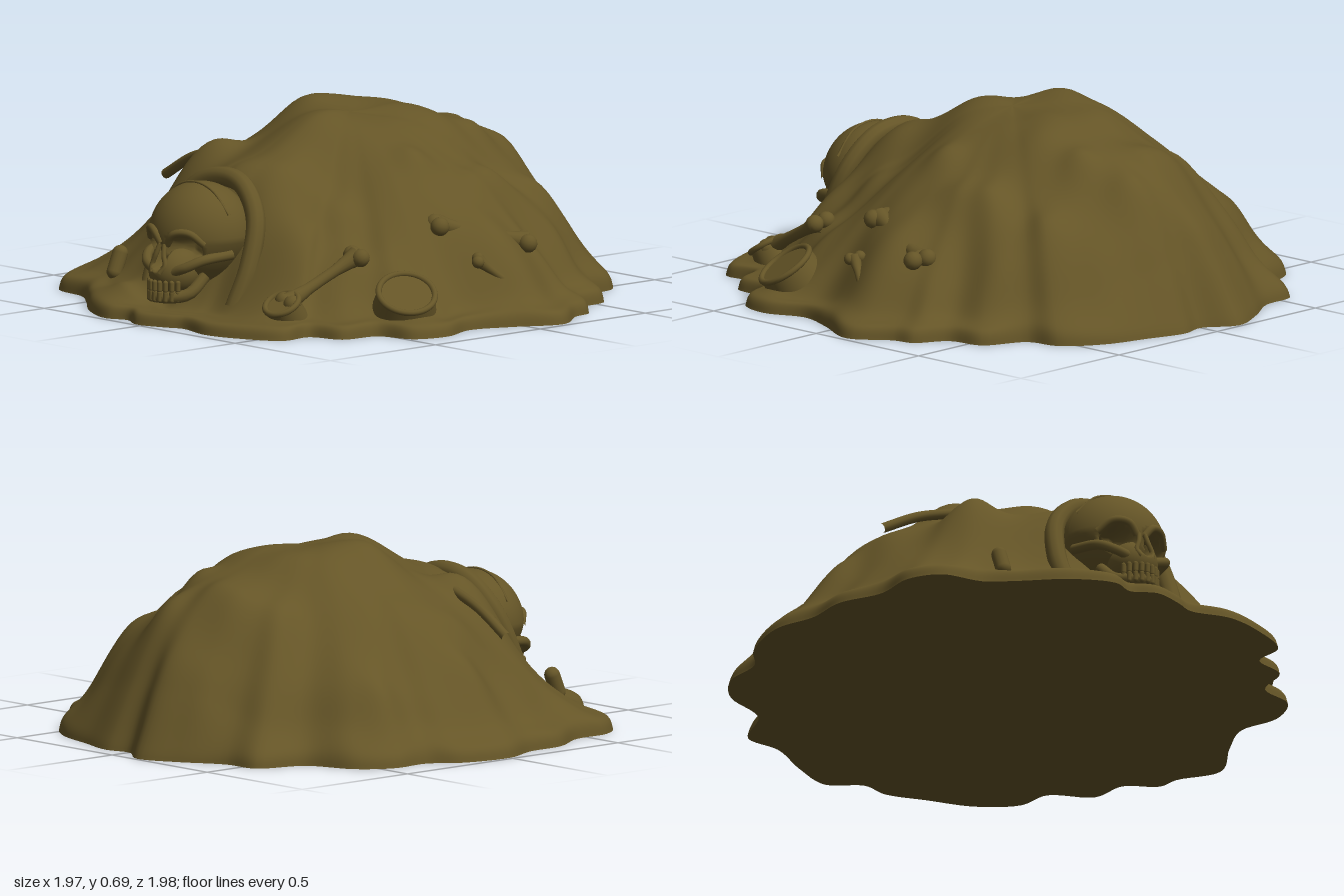
import * as THREE from 'three';
import { mergeVertices } from 'three/addons/utils/BufferGeometryUtils.js';

const earth = new THREE.MeshStandardMaterial({ color: 0x655527 });
earth.name = 'muddy brown';
const V = (x, y, z) => new THREE.Vector3(x, y, z);
const UP = V(0, 1, 0);

function add(parent, name, geometry, pos = V(0, 0, 0)) {
  const mesh = new THREE.Mesh(geometry, earth);
  mesh.name = name;
  mesh.position.copy(pos);
  parent.add(mesh);
  return mesh;
}

const tube = (pts, r, n = 20) =>
  new THREE.TubeGeometry(new THREE.CatmullRomCurve3(pts.map(p => V(...p))), n, r, 10);

// Scalloped footprint, x and z, running from the left side round by the front
const OUTLINE = [
  [.9, .05], [.85, .2], [.9, .35], [.86, .48], [.73, .53], [.7, .67], [.58, .72], [.58, .84], [.45, .92],
  [.3, .96], [.15, .93], [.08, .96], [-.03, .99], [-.12, .95], [-.2, .98], [-.35, .92], [-.5, .8],
  [-.6, .73], [-.75, .7], [-.83, .6], [-.84, .45], [-.92, .3], [-.93, .15], [-.985, 0], [-.95, -.2],
  [-.88, -.3], [-.88, -.45], [-.8, -.57], [-.63, -.65], [-.56, -.82], [-.42, -.84], [-.27, -.93],
  [-.12, -.99], [0, -.92], [.1, -.94], [.25, -.9], [.42, -.85], [.55, -.75], [.58, -.63], [.73, -.55],
  [.76, -.42], [.87, -.35], [.89, -.27], [.98, -.13]
];

// Slope heights at eight compass directions, starting at +x and turning to +z
const STOPS = [0, .2, .4, .6, .8, .9, .98, 1];
const SLOPES = [
  [.63, .52, .37, .17, .07, .045], [.62, .47, .31, .12, .06, .045],
  [.65, .57, .49, .1, .05, .045], [.64, .53, .38, .17, .08, .05],
  [.66, .58, .46, .23, .11, .05], [.67, .6, .48, .27, .13, .05],
  [.67, .63, .56, .38, .22, .05], [.64, .54, .41, .21, .1, .05]
].map(h => new THREE.SplineCurve([.66, ...h, 0].map((y, i) => new THREE.Vector2(STOPS[i], y))));

function makeLumps() {
  let seed = 11;
  const rnd = () => (seed = (seed * 16807) % 2147483647) / 2147483647;
  const lumps = [[0, .12, .1, .035], [-.22, -.05, .1, .03], [.1, -.25, .1, .025]];
  for (let i = 0; i < 85; i++) {
    const a = rnd() * Math.PI * 2, r = .25 + .7 * Math.sqrt(rnd());
    lumps.push([Math.cos(a) * r, Math.sin(a) * r, .045 + rnd() * .055, .015 + rnd() * .03]);
  }
  return lumps;
}

function moundGeometry() {
  const lumps = makeLumps();
  const rim = new THREE.CatmullRomCurve3(OUTLINE.map(([x, z]) => V(x, 0, z)), true);
  const N = 264, RINGS = 56, pos = [], idx = [];
  const edge = Array.from({ length: N }, (_, j) => rim.getPoint(j / N));
  for (let i = 0; i <= RINGS; i++) {
    const rings = SLOPES.map(s => s.getPoint(i / RINGS));
    const t = Math.min(1, rings[0].x);
    // Inner rings are rounder; scallops only show near the rim
    for (let j = 0; j < N; j++) {
      const e = edge[j], d = (Math.atan2(e.z, e.x) / (Math.PI / 4) + 8) % 8;
      const k = Math.floor(d) % 8, f = THREE.MathUtils.smoothstep(d - Math.floor(d), 0, 1);
      const round = THREE.MathUtils.lerp(.93 / e.length(), 1, t * t);
      const x = e.x * t * round, z = e.z * t * round;
      let bump = -.025;
      for (const [lx, lz, s, a] of lumps) bump += a * Math.exp(-((x - lx) ** 2 + (z - lz) ** 2) / (2 * s * s));
      const y = THREE.MathUtils.lerp(rings[k].y, rings[(k + 1) % 8].y, f) + bump * (1 - t ** 7);
      pos.push(x, i === RINGS ? 0 : Math.max(.004, y), z);
      if (i < RINGS) {
        const a = i * N + j, b = i * N + (j + 1) % N;
        if (i > 0) idx.push(a, b, a + N);
        idx.push(b, b + N, a + N);
      }
    }
  }
  const g = new THREE.BufferGeometry();
  g.setAttribute('position', new THREE.Float32BufferAttribute(pos, 3));
  g.setIndex(idx);
  const merged = mergeVertices(g);
  merged.computeVertexNormals();
  return { mound: merged, edge };
}

// Sphere stretched to radii, with pits [x, y, width, height, depth] pressed into its front
function pitted(rx, ry, rz, pits, shape) {
  const g = new THREE.SphereGeometry(1, 72, 56), p = g.attributes.position;
  for (let i = 0; i < p.count; i++) {
    const v = V().fromBufferAttribute(p, i);
    const front = v.z > 0;
    v.multiply(V(rx, ry, rz));
    if (shape) shape(v);
    if (front) for (const [x, y, w, h, depth] of pits) {
      const d = Math.hypot((v.x - x) / w, (v.y - y) / h);
      v.z -= depth * (1 - THREE.MathUtils.smoothstep(d, .6, 1.05));
    }
    p.setXYZ(i, v.x, v.y, v.z);
  }
  g.computeVertexNormals();
  return g;
}

function makeSkull() {
  const skull = new THREE.Group();
  skull.name = 'skull';
  skull.position.set(-.02, 0, 0);
  // Cranium with two eye sockets, narrowing below
  add(skull, 'cranium', pitted(.19, .19, .18,
    [[-.075, -.03, .058, .052, .1], [.075, -.03, .058, .052, .1]],
    v => { if (v.y < 0) v.x *= 1 + v.y * 1.6; }), V(0, .29, .69));
  add(skull, 'upperJaw', pitted(.09, .085, .1, [[0, .05, .026, .045, .08]]), V(0, .175, .81));
  for (const s of [-1, 1]) {
    add(skull, 'browRidge', tube([[.015 * s, .275, .865], [.05 * s, .315, .865], [.1 * s, .32, .84], [.14 * s, .28, .8]], .014));
    add(skull, 'cheekbone', tube([[.05 * s, .18, .87], [.1 * s, .2, .855], [.14 * s, .225, .81], [.175 * s, .24, .7]], .018));
    add(skull, 'noseSide', tube([[.012 * s, .275, .875], [.02 * s, .24, .885], [.033 * s, .2, .892], [.02 * s, .175, .905]], .009));
  }
  // Curved rows of teeth
  for (let row = 0; row < 2; row++) for (let i = -4; i <= 4; i++) {
    const a = i * .3;
    add(skull, 'tooth', new THREE.CapsuleGeometry(.0095, .026, 3, 8),
      V(Math.sin(a) * .074, .13 - row * .036, .835 + Math.cos(a) * .075));
  }
  add(skull, 'lowerJaw', tube([[-.1, .16, .76], [-.085, .1, .83], [0, .09, .895], [.085, .1, .83], [.1, .16, .76]], .022));
  // Seams over the crown
  add(skull, 'crownSeam', tube([[-.17, .38, .71], [-.09, .458, .715], [0, .48, .715], [.09, .458, .715], [.17, .38, .71]], .005));
  return skull;
}

// Long bone with a pair of knuckles at each end
function bone(parent, a, b, r, name = 'bone') {
  const group = new THREE.Group(), dir = b.clone().sub(a), len = dir.length();
  group.name = name;
  group.position.copy(a).lerp(b, .5);
  group.quaternion.setFromUnitVectors(UP, dir.normalize());
  const profile = [[1.5, -.5], [1.15, -.38], [.85, -.2], [.8, 0], [.85, .2], [1.15, .38], [1.5, .5]];
  add(group, 'shaft', new THREE.LatheGeometry(profile.map(([w, y]) => new THREE.Vector2(w * r, y * len)), 14));
  for (const e of [-1, 1]) for (const s of [-1, 1])
    add(group, 'knuckle', new THREE.SphereGeometry(r * 1.3, 14, 10), V(s * r, e * len / 2, s * r * .3));
  parent.add(group);
}

// Round, rimmed bone end lying on the slope
function rimmedDisc(parent, pos, normal, r) {
  const disc = new THREE.Group();
  disc.name = 'roundBoneEnd';
  disc.position.copy(pos);
  disc.quaternion.setFromUnitVectors(UP, normal.normalize());
  add(disc, 'plug', new THREE.CylinderGeometry(r, r * 1.15, .08, 36), V(0, -.04, 0));
  add(disc, 'rim', new THREE.TorusGeometry(r, .011, 10, 40)).rotation.x = Math.PI / 2;
  parent.add(disc);
}

export function createModel() {
  const model = new THREE.Group();
  model.name = 'burialMound';
  const { mound, edge } = moundGeometry();
  add(model, 'mound', mound);

  // Flat underside
  const base = new THREE.ShapeGeometry(new THREE.Shape(edge.map(p => new THREE.Vector2(p.x, p.z))));
  base.rotateX(Math.PI / 2);
  add(model, 'underside', base);

  // Skull with the earth drawn round it like a hood
  model.add(makeSkull());
  add(model, 'earthHood', tube([[-.24, .06, .74], [-.25, .2, .68], [-.215, .36, .62], [-.12, .46, .59], [0, .485, .58],
    [.1, .46, .59], [.19, .36, .62], [.22, .2, .68], [.21, .06, .74]], .035, 48));

  // Bones half buried in the left flank
  bone(model, V(.57, .33, .1), V(.69, .25, -.21), .026);
  bone(model, V(.52, .25, .44), V(.47, .11, .72), .025);
  bone(model, V(.74, .22, .06), V(.83, .09, -.08), .017, 'smallBone');
  rimmedDisc(model, V(.74, .14, .4), V(.5, .85, .3), .1);
  rimmedDisc(model, V(.47, .11, .75), V(.1, .8, .5), .062);

  // Fragments on the front and right flank
  add(model, 'boneSplinter', tube([[-.7, .37, .24], [-.55, .45, .25], [-.38, .5, .27]], .018));
  add(model, 'boneStub', new THREE.CapsuleGeometry(.028, .07, 6, 14), V(-.48, .13, .67)).rotation.x = -.4;
  return model;
}
